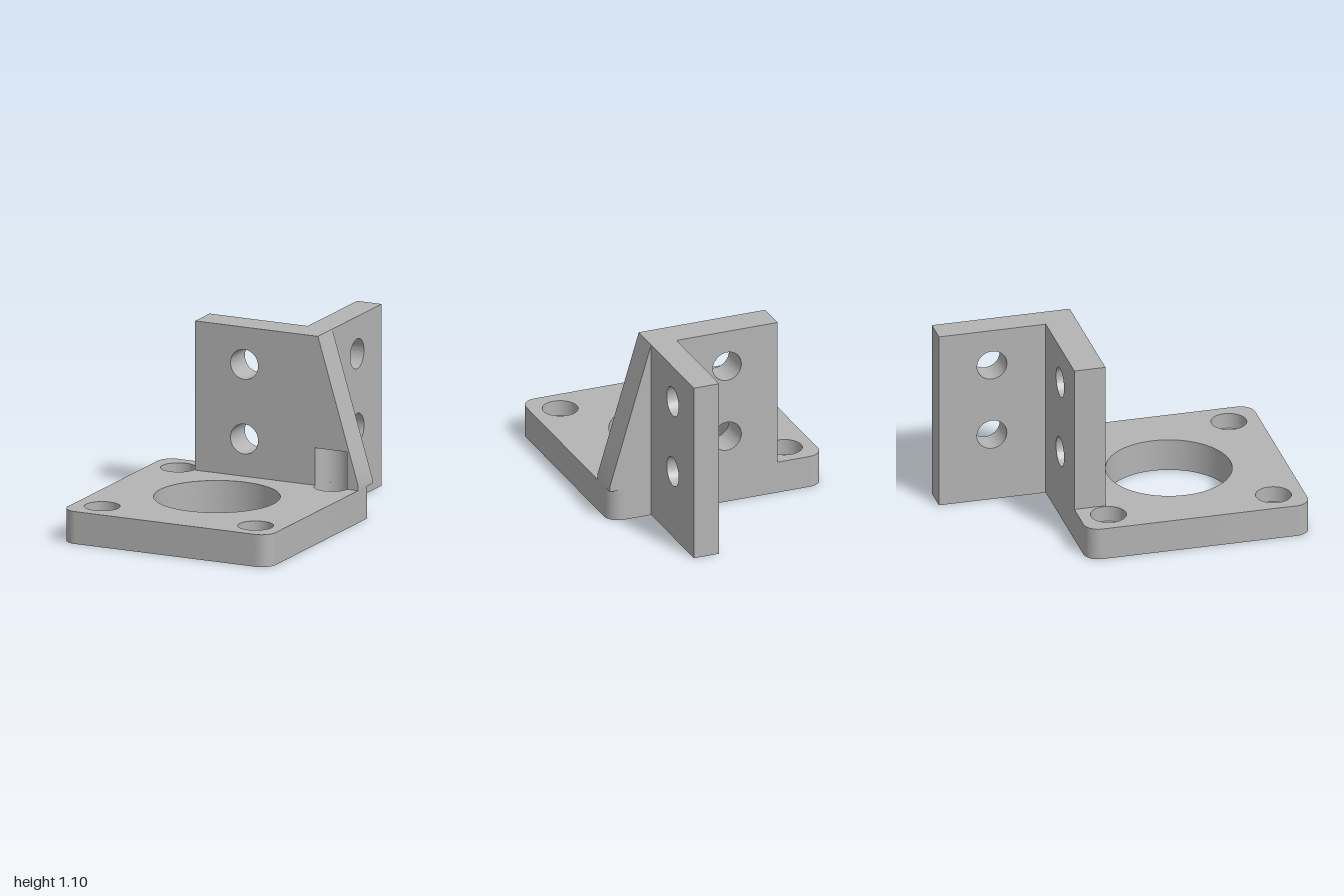
import * as THREE from 'three';
import { toCreasedNormals } from 'three/addons/utils/BufferGeometryUtils.js';

const HALF = 0.677, BACK = 0.355, FRONT = -1;   // plan coordinates use v = -z
const BASE_H = 0.195, TOP = 1.095, SEAT = 0.1, POCKET_TOP = 0.42;
const WALL_V = 0.167, POCKET_X = 0.5, POCKET_V = 0.18, BORE = 0.105;
const SLANT_X = 0.415, SLANT_Y = 0.225;
const slantAt = (y) => HALF - (HALF - SLANT_X) * (y - SLANT_Y) / (TOP - SLANT_Y);

const polygon = (pts) => new THREE.Shape(pts.map(([x, y]) => new THREE.Vector2(x, y)));

function addHole(shape, x, y, r) {
  const hole = new THREE.Path();
  hole.absarc(x, y, r, 0, Math.PI * 2, true);
  shape.holes.push(hole);
}

const extrude = (shape, depth, steps = 1) =>
  new THREE.ExtrudeGeometry(shape, { depth, steps, bevelEnabled: false, curveSegments: 32 });

// Rounded square plate with the large bore and four screw holes
function plateLayer(height, screwRadius) {
  const r = 0.09, s = new THREE.Shape();
  s.absarc(HALF - r, BACK - r, r, 0, Math.PI / 2);
  s.absarc(-HALF + r, BACK - r, r, Math.PI / 2, Math.PI);
  s.absarc(-HALF + r, FRONT + r, r, Math.PI, Math.PI * 1.5);
  s.absarc(HALF - r, FRONT + r, r, Math.PI * 1.5, Math.PI * 2);
  s.closePath();
  addHole(s, 0, -0.32, 0.37);
  for (const x of [-POCKET_X, POCKET_X])
    for (const v of [POCKET_V, -0.817]) addHole(s, x, v, screwRadius);
  return extrude(s, height).rotateX(-Math.PI / 2);
}

// Foot of the wall: screw clearance pocket in front, slanted outer end
function wallFoot() {
  const a = Math.asin((WALL_V - POCKET_V) / BORE);
  const s = polygon([[0.3, WALL_V], [0.3, BACK], [HALF, BACK], [HALF, WALL_V]]);
  s.absarc(POCKET_X, POCKET_V, BORE, a, Math.PI - a);
  s.closePath();
  const h = POCKET_TOP - BASE_H;
  const geo = extrude(s, h, 2).rotateX(-Math.PI / 2).translate(0, BASE_H, 0);
  const p = geo.attributes.position;
  for (let i = 0; i < p.count; i++) {
    const y = p.getY(i);
    if (Math.abs(y - BASE_H - h / 2) < 0.01) p.setY(i, SLANT_Y);
    if (y > POCKET_TOP - 0.01 && p.getX(i) > HALF - 0.01) p.setX(i, slantAt(POCKET_TOP));
  }
  return geo;
}

export function createModel() {
  const group = new THREE.Group();
  const grey = new THREE.MeshStandardMaterial({ color: 0xb4b4b4 });
  grey.name = 'plain grey';
  const add = (name, geo) => {
    const mesh = new THREE.Mesh(toCreasedNormals(geo, 0.5), grey);
    mesh.name = name;
    group.add(mesh);
  };

  // Base plate: narrow screw holes below, wide counterbores above
  add('basePlateLower', plateLayer(SEAT, 0.055));
  add('basePlateUpper', plateLayer(BASE_H - SEAT, BORE).translate(0, SEAT, 0));

  // Upright wall, notched where the foot fits
  const wall = polygon([[-0.385, BASE_H], [0.3, BASE_H], [0.3, POCKET_TOP],
    [slantAt(POCKET_TOP), POCKET_TOP], [SLANT_X, TOP], [-0.385, TOP]]);
  for (const y of [0.42, 0.87]) addHole(wall, -0.065, y, 0.09);
  add('uprightWall', extrude(wall, BACK - WALL_V).translate(0, 0, -BACK));
  add('wallFoot', wallFoot());

  // Rear fin, standing at right angles to the wall
  const fin = polygon([[BACK, 0], [1, 0], [1, TOP], [BACK, TOP]]);
  for (const y of [0.42, 0.87]) addHole(fin, 0.68, y, 0.09);
  add('rearFin', extrude(fin, 0.16).rotateY(Math.PI / 2).translate(SLANT_X - 0.16, 0, 0));

  return group;
}
